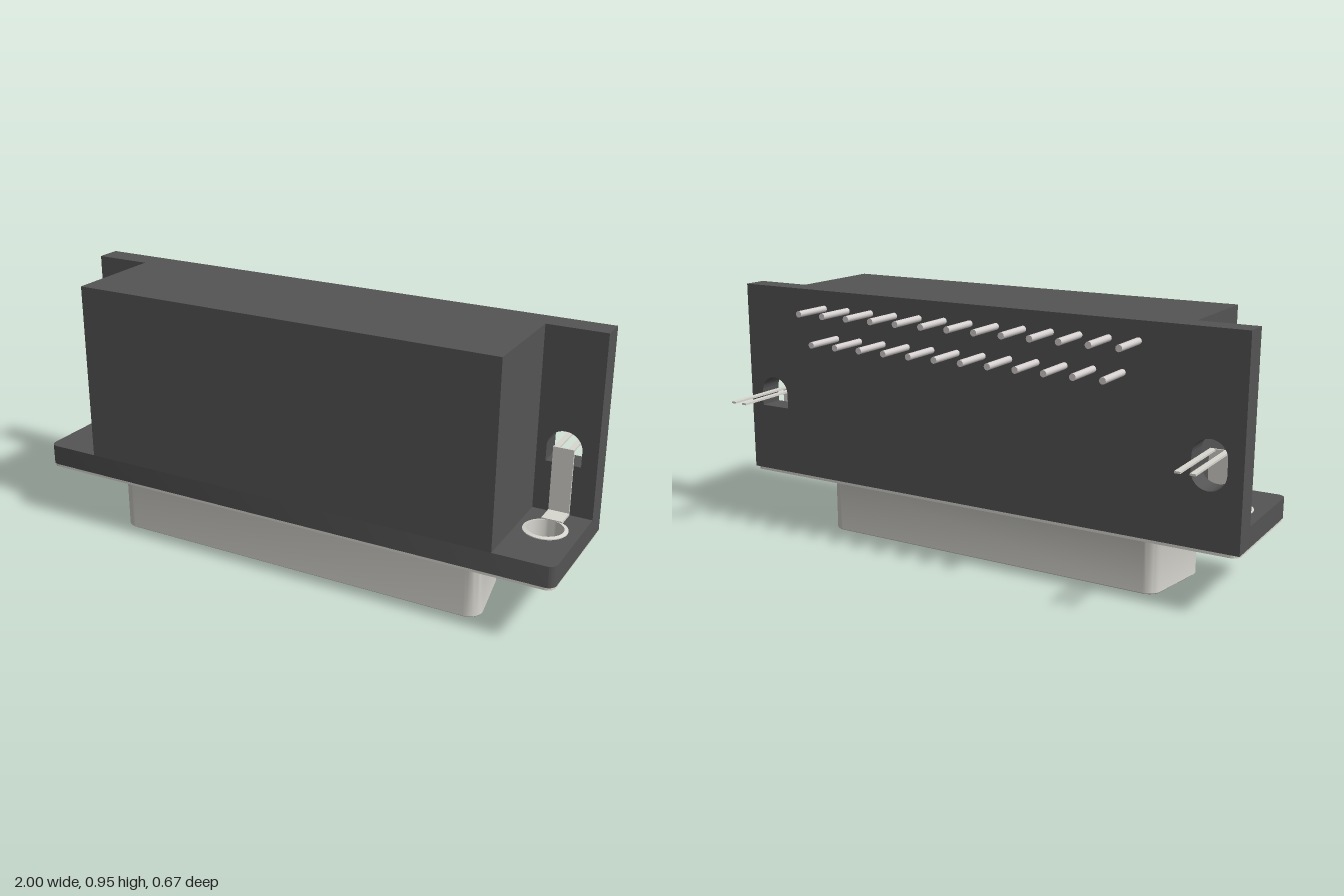
import * as THREE from 'three';
import { toCreasedNormals, mergeGeometries } from 'three/addons/utils/BufferGeometryUtils.js';

const plastic = new THREE.MeshStandardMaterial({ color: 0x545454 });
const metal = new THREE.MeshStandardMaterial({ color: 0xd8d7d0 });
const pinMetal = new THREE.MeshStandardMaterial({ color: 0xd6d0d0 });

const HOLE_X = 0.885, HOLE_Z = 0.1;

function add(parent, name, geometry, material) {
  const mesh = new THREE.Mesh(geometry, material);
  mesh.name = name;
  parent.add(mesh);
  return mesh;
}

// box given by its limits on each axis
function block(x0, x1, y0, y1, z0, z1) {
  return new THREE.BoxGeometry(x1 - x0, y1 - y0, z1 - z0)
    .translate((x0 + x1) / 2, (y0 + y1) / 2, (z0 + z1) / 2);
}

// shape drawn in x/z, standing between two heights
function slab(shape, y0, y1) {
  const g = new THREE.ExtrudeGeometry(shape, { depth: y1 - y0, bevelEnabled: false, curveSegments: 20 });
  return toCreasedNormals(g.rotateX(Math.PI / 2).translate(0, y1, 0), 0.6);
}

function circle(x, y, r) {
  return new THREE.Path().absarc(x, y, r, 0, Math.PI * 2, true);
}

// rectangle with separate front (high) and back (low) corner radii
function roundedRect(w, low, high, rLow, rHigh) {
  const s = new THREE.Shape();
  s.moveTo(-w + rLow, low).lineTo(w - rLow, low);
  if (rLow) s.absarc(w - rLow, low + rLow, rLow, -Math.PI / 2, 0, false);
  s.absarc(w - rHigh, high - rHigh, rHigh, 0, Math.PI / 2, false);
  s.absarc(-w + rHigh, high - rHigh, rHigh, Math.PI / 2, Math.PI, false);
  if (rLow) s.absarc(-w + rLow, low + rLow, rLow, Math.PI, Math.PI * 1.5, false);
  s.closePath();
  return s;
}

// D outline in x/z: slanted sides, round corners; radius offsets it evenly
function dOutline(radius) {
  const tilt = Math.PI / 18, q = Math.PI / 2, steps = 8;
  const zf = 0.21, zb = 0, xf = 0.675, xb = xf - (zf - zb) * Math.tan(tilt);
  const corners = [
    [xb, zb, -q, -tilt], [xf, zf, -tilt, q],
    [-xf, zf, q, Math.PI + tilt], [-xb, zb, Math.PI + tilt, Math.PI + q],
  ];
  const pts = [];
  for (const [x, z, a0, a1] of corners) {
    for (let k = 0; k <= steps; k++) {
      const a = a0 + (a1 - a0) * k / steps;
      pts.push(new THREE.Vector2(x + radius * Math.cos(a), z + radius * Math.sin(a)));
    }
  }
  return pts;
}

// loft of D outlines along a [radius, height] profile
function dLoft(profile) {
  const pos = [], idx = [];
  let n = 0;
  for (const [r, y] of profile) {
    const pts = dOutline(r);
    n = pts.length;
    for (const p of pts) pos.push(p.x, y, p.y);
  }
  for (let i = 0; i < profile.length - 1; i++) {
    for (let j = 0; j < n; j++) {
      const a = i * n + j, b = i * n + (j + 1) % n, c = a + n, d = b + n;
      idx.push(a, b, c, b, d, c);
    }
  }
  const g = new THREE.BufferGeometry();
  g.setAttribute('position', new THREE.Float32BufferAttribute(pos, 3));
  g.setIndex(idx);
  return toCreasedNormals(g, 0.7);
}

export function createModel() {
  const model = new THREE.Group();
  model.name = 'rightAngleConnector';

  // plastic housing
  add(model, 'housingBlock', block(-0.79, 0.79, 0.305, 0.955, -0.04, 0.335), plastic);

  const flange = roundedRect(1, -0.04, 0.335, 0, 0.03);
  for (const s of [-1, 1]) flange.holes.push(circle(s * HOLE_X, HOLE_Z, 0.064));
  add(model, 'housingFlange', slab(flange, 0.23, 0.305), plastic);

  // back wall, with a slot on one side and a flat-bottomed window on the other
  const wall = new THREE.Shape();
  wall.moveTo(-1, 0.23).lineTo(1, 0.23).lineTo(1, 0.955).lineTo(-1, 0.955).closePath();
  const slot = new THREE.Path();
  slot.absarc(-HOLE_X, 0.54, 0.061, 0, Math.PI, false);
  slot.absarc(-HOLE_X, 0.49, 0.061, Math.PI, Math.PI * 2, false);
  slot.closePath();
  const window = new THREE.Path();
  window.absarc(HOLE_X, 0.54, 0.061, 0, Math.PI, false);
  window.lineTo(HOLE_X - 0.061, 0.485).lineTo(HOLE_X + 0.061, 0.485).closePath();
  wall.holes.push(slot, window);
  const wallGeo = new THREE.ExtrudeGeometry(wall, { depth: 0.09, bevelEnabled: false, curveSegments: 20 });
  add(model, 'backWall', toCreasedNormals(wallGeo.translate(0, 0, -0.13), 0.6), plastic);

  // thin metal plate under the flange
  const plate = roundedRect(0.997, -0.13, 0.333, 0.03, 0.03);
  for (const s of [-1, 1]) plate.holes.push(circle(s * HOLE_X, HOLE_Z, 0.064));
  plate.holes.push(new THREE.Path(dOutline(0.036)));
  add(model, 'metalPlate', slab(plate, 0.22, 0.23), metal);

  // hollow D-shaped shell with a flared root
  const profile = [];
  for (let k = 0; k <= 5; k++) {
    const a = k / 5 * Math.PI / 2;
    profile.push([0.07 - 0.02 * Math.sin(a), 0.2 + 0.02 * Math.cos(a)]);
  }
  profile.push([0.05, 0.004], [0.046, 0], [0.036, 0], [0.036, 0.23]);
  add(model, 'shell', dLoft(profile), metal);

  // two staggered rows of 13 and 12 contacts
  const pins = new THREE.Group();
  pins.name = 'contacts';
  model.add(pins);
  const pitch = 0.105;
  for (const [count, z, y] of [[13, 0.157, 0.888], [12, 0.05, 0.78]]) {
    for (let i = 0; i < count; i++) {
      const x = (i - (count - 1) / 2) * pitch;
      const mating = mergeGeometries([
        new THREE.CylinderGeometry(0.017, 0.017, 0.21, 12).translate(0, 0.135, 0),
        new THREE.SphereGeometry(0.017, 12, 4, 0, Math.PI * 2, Math.PI / 2, Math.PI / 2).translate(0, 0.03, 0),
      ]);
      add(pins, 'matingPin', mating, pinMetal).position.set(x, 0, z);
      const tail = new THREE.CylinderGeometry(0.012, 0.012, 0.16, 12).rotateX(Math.PI / 2);
      add(pins, 'boardPin', tail, pinMetal).position.set(x, y, -0.198);
    }
  }

  // mounting eyelet and bent board lock on each side
  for (const s of [-1, 1]) {
    const lock = new THREE.Group();
    lock.name = s > 0 ? 'leftBoardLock' : 'rightBoardLock';
    lock.position.x = s * HOLE_X;
    model.add(lock);
    const eyelet = [[0.062, 0.221], [0.062, 0.311], [0.075, 0.308], [0.075, 0.304]]
      .map(([r, y]) => new THREE.Vector2(r, y));
    const sleeve = add(lock, 'eyelet', toCreasedNormals(new THREE.LatheGeometry(eyelet, 40), 0.6),
      Object.assign(metal.clone(), { side: THREE.DoubleSide }));
    sleeve.position.z = HOLE_Z;
    add(lock, 'strapFoot', block(-0.036, 0.036, 0.305, 0.314, -0.038, 0.038), metal);
    add(lock, 'strapUpright', block(-0.036, 0.036, 0.305, 0.544, -0.039, -0.032), metal);
    for (const p of [-1, 1]) {
      add(lock, 'prong', block(p * 0.025 - 0.01, p * 0.025 + 0.01, 0.537, 0.544, -0.335, -0.034), metal);
    }
  }
  return model;
}
